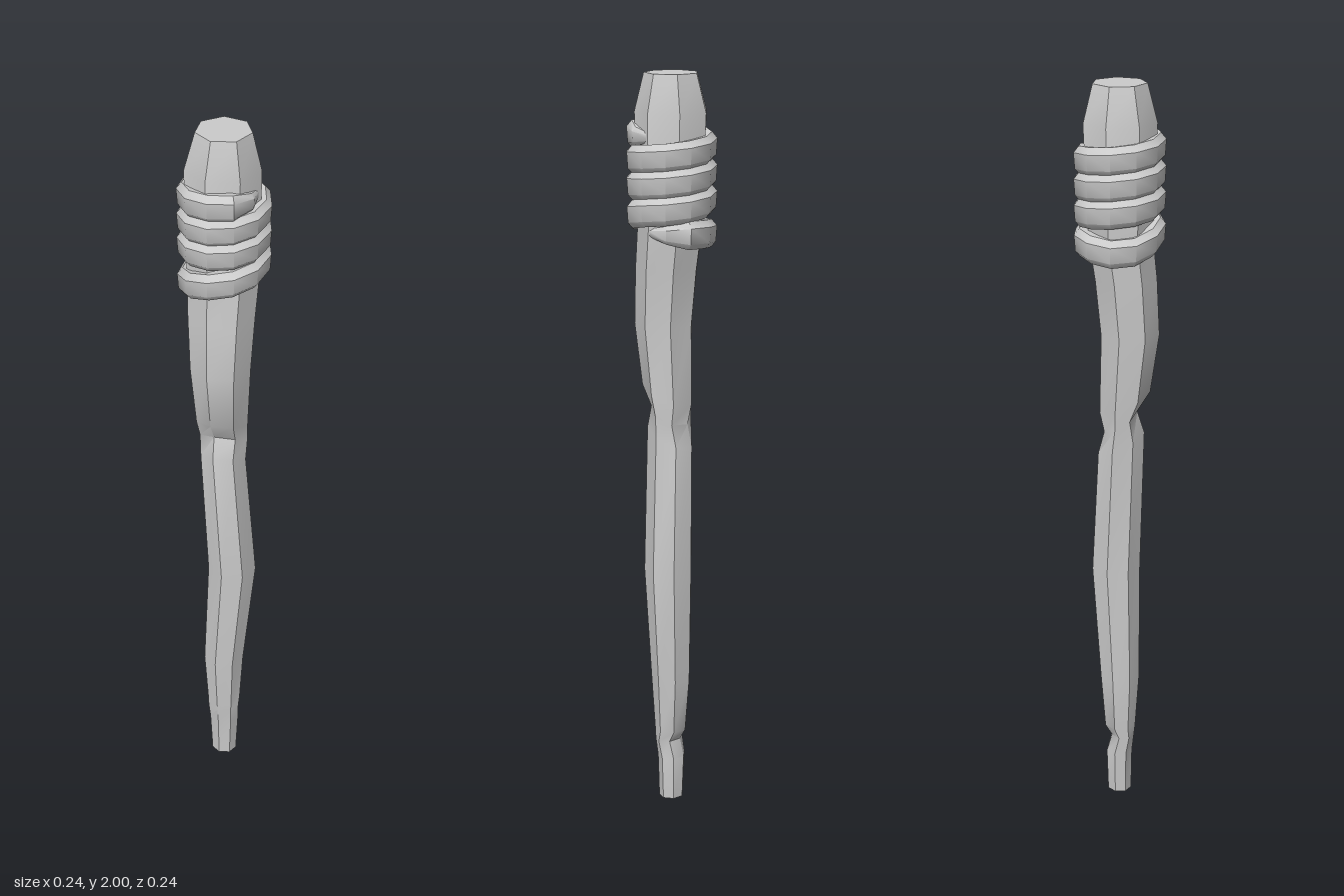
import * as THREE from 'three';
import { toCreasedNormals } from 'three/addons/utils/BufferGeometryUtils.js';

// Skin a list of closed rings (arrays of [x, y, z]) and cap both ends.
function loft(rings, crease) {
  const n = rings[0].length;
  const position = rings.flat(2);
  const index = [];
  for (let k = 0; k < rings.length - 1; k++) {
    for (let i = 0; i < n; i++) {
      const a = k * n + i, b = k * n + (i + 1) % n;
      index.push(a, b, b + n, a, b + n, a + n);
    }
  }
  const last = (rings.length - 1) * n;
  for (let i = 1; i < n - 1; i++) {
    index.push(0, i + 1, i, last, last + i, last + i + 1);
  }
  const geometry = new THREE.BufferGeometry();
  geometry.setAttribute('position', new THREE.Float32BufferAttribute(position, 3));
  geometry.setIndex(index);
  return toCreasedNormals(geometry, crease);
}

// Seven-sided ring fitted to its left, right, front and back limits.
function shaftRing([y, left, right, front, back, tilt = 0]) {
  const rx = (right - left) / 1.901, rz = (front - back) / 1.95;
  const cx = right - rx, cz = (front + back) / 2;
  return Array.from({ length: 7 }, (_, i) => {
    const a = (i / 7) * Math.PI * 2;
    return [cx + rx * Math.cos(a), y - tilt * Math.sin(a), cz - rz * Math.sin(a)];
  });
}

// Linear lookup in a list of [key, value] pairs.
function lookup(table, t) {
  const k = Math.max(1, table.findIndex(([key]) => key >= t));
  const [t0, v0] = table[k - 1], [t1, v1] = table[k];
  return THREE.MathUtils.lerp(v0, v1, (t - t0) / (t1 - t0));
}

export function createModel() {
  const group = new THREE.Group();
  const material = new THREE.MeshStandardMaterial({ color: 0xcccccc });
  const add = (name, geometry) => {
    const mesh = new THREE.Mesh(geometry, material);
    mesh.name = name;
    group.add(mesh);
  };

  // Crooked shaft with nicks: height, left, right, front, back, tilt
  const shaft = [
    [0, -0.033, 0.033, 0.032, -0.032],
    [0.12, -0.039, 0.039, 0.034, -0.036],
    [0.17, -0.042, 0.042, 0.04, -0.022],
    [0.2, -0.044, 0.044, 0.043, -0.04],
    [0.35, -0.053, 0.053, 0.053, -0.052],
    [0.67, -0.041, 0.085, 0.056, -0.073],
    [1.04, -0.058, 0.058, 0.065, -0.058, 0.028],
    [1.1, -0.062, 0.062, 0.046, -0.042, 0.028],
    [1.155, -0.066, 0.065, 0.08, -0.054, 0.028],
    [1.34, -0.077, 0.075, 0.103, -0.05],
    [1.49, -0.084, 0.083, 0.096, -0.065],
    [1.6, -0.088, 0.09, 0.085, -0.082],
    [1.9, -0.093, 0.094, 0.095, -0.095],
    [2, -0.067, 0.07, 0.07, -0.07],
  ];
  add('shaft', loft(shaft.map(shaftRing), 0.7));

  // Cord wound four turns around the grip, its ends tapering into the shaft
  const section = [[0.075, 0.034], [0.106, 0.037], [0.12, 0.02], [0.117, -0.022], [0.104, -0.037], [0.075, -0.034]];
  const heights = [[0, 1.595], [0.25, 1.592], [0.5, 1.575], [0.75, 1.62], [1, 1.65], [3.75, 1.838], [4, 1.84]];
  const perTurn = 11, turns = 4;
  const coil = [];
  for (let s = 0; s <= perTurn * turns; s++) {
    const t = s / perTurn, a = t * Math.PI * 2;
    const size = Math.min(1, 0.3 + 0.7 * Math.min(t, turns - t) / 0.18);
    const y = lookup(heights, t);
    coil.push(section.map(([r, dy]) => {
      const radius = 0.075 + (r - 0.075) * size;
      return [radius * Math.cos(a), y + dy * size, -radius * Math.sin(a)];
    }));
  }
  add('cordWrap', loft(coil, 0.7));

  return group;
}
